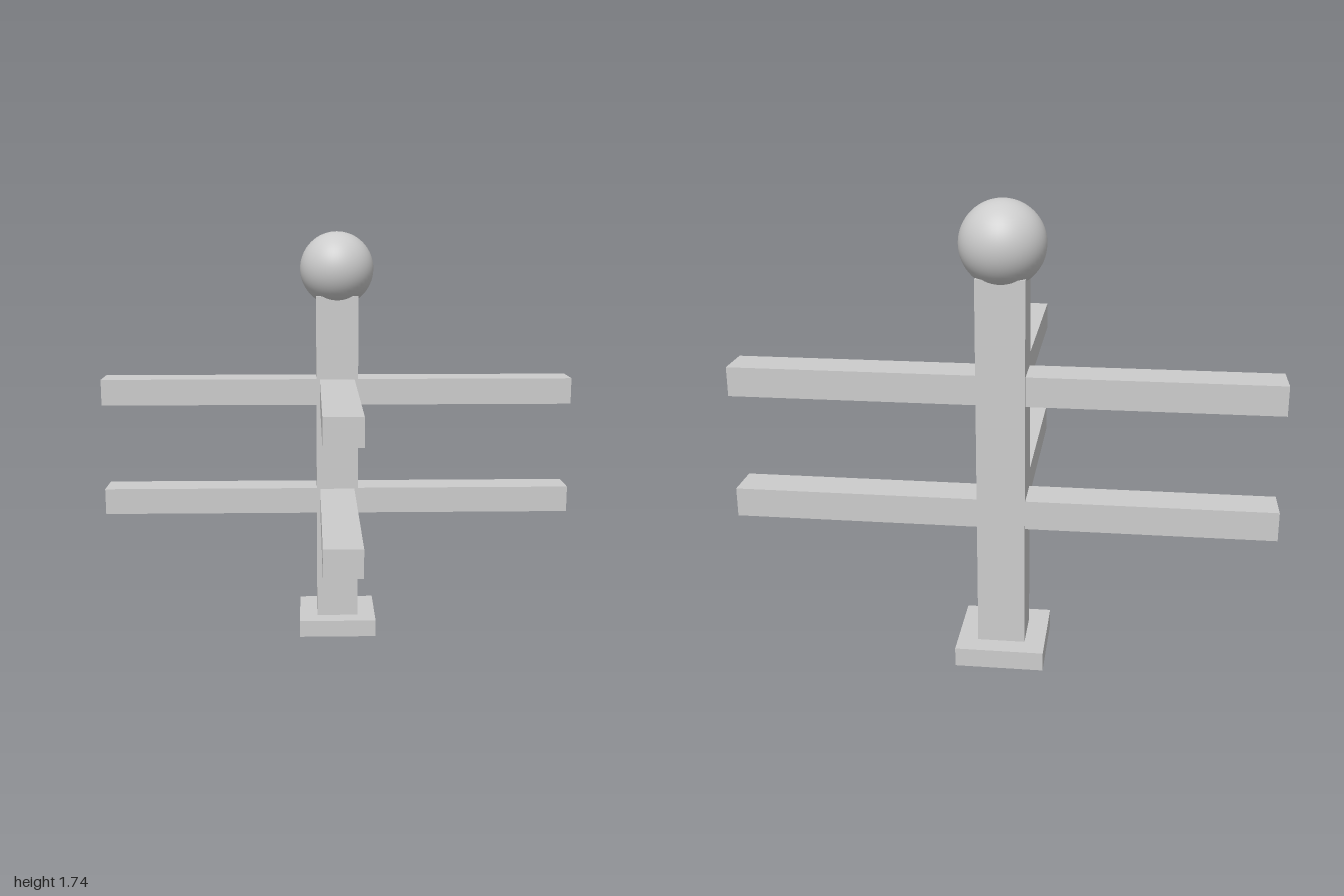
import * as THREE from 'three';

export function createModel() {
  const model = new THREE.Group();
  const grey = new THREE.MeshStandardMaterial({ color: 0xcccccc });
  grey.name = 'light grey';

  const postZ = -0.417; // the post stands behind the centre
  const postHalf = 0.0885;

  const add = (name, geometry, x, y, z) => {
    const mesh = new THREE.Mesh(geometry, grey);
    mesh.name = name;
    mesh.position.set(x, y, z);
    model.add(mesh);
  };

  // Base plate, square post and ball finial
  add('basePlate', new THREE.BoxGeometry(0.33, 0.072, 0.33), 0, 0.036, postZ);
  add('post', new THREE.BoxGeometry(postHalf * 2, 1.4, postHalf * 2), 0, 0.77, postZ);
  add('ballFinial', new THREE.SphereGeometry(0.155, 48, 32), 0, 1.58, postZ);

  // Two tiers of rails: left, right and front
  const railLength = 1 - postHalf;
  const railHeight = 0.11;
  const railWidth = 0.147;
  const reach = postHalf + railLength / 2;
  [['lower', 0.59], ['upper', 1.065]].forEach(([tier, y]) => {
    const sideRail = new THREE.BoxGeometry(railLength, railHeight, railWidth);
    add(tier + 'LeftRail', sideRail, reach, y, postZ);
    add(tier + 'RightRail', sideRail, -reach, y, postZ);
    add(tier + 'FrontRail', new THREE.BoxGeometry(railWidth, railHeight, railLength), 0, y, postZ + reach);
  });

  return model;
}
